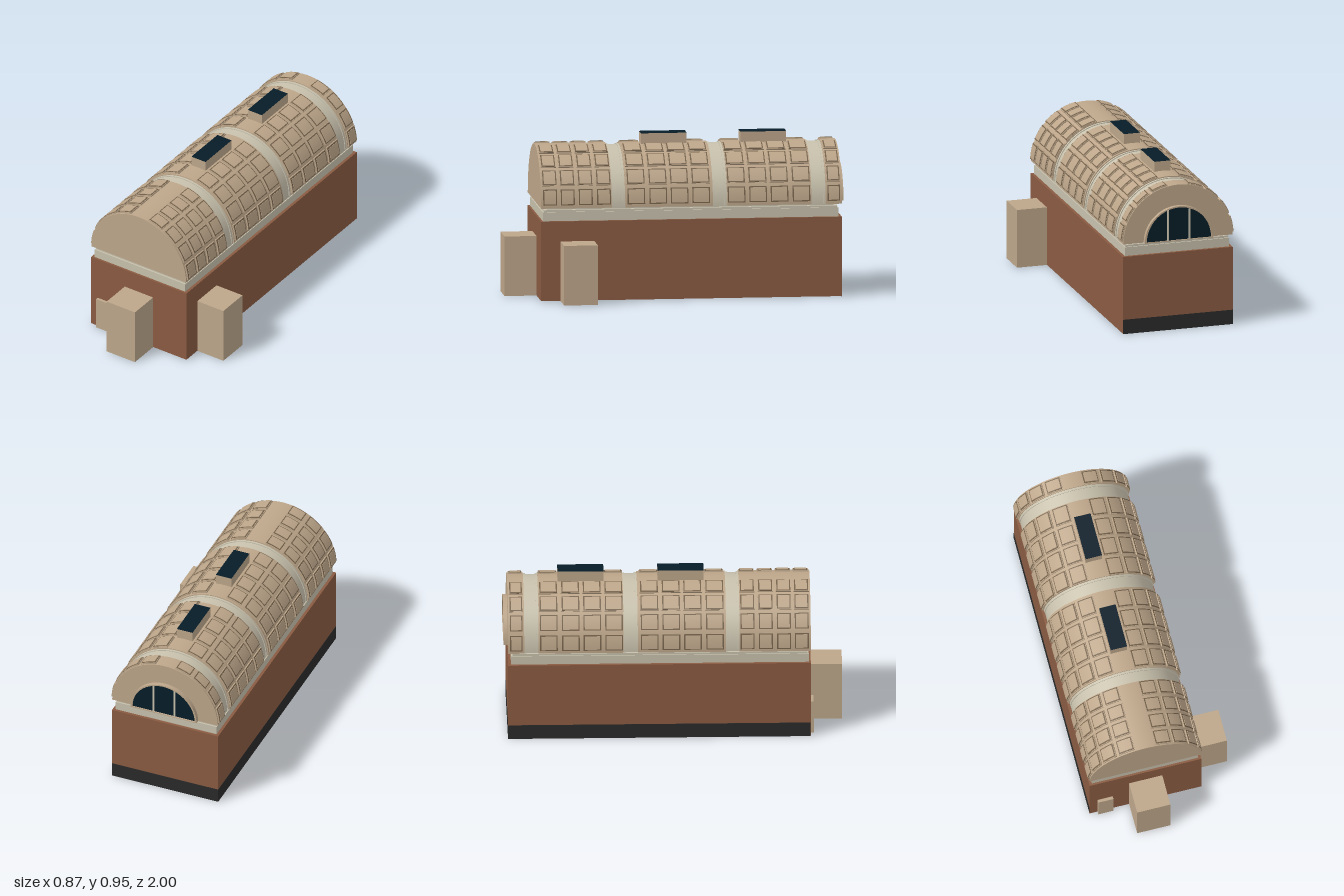
import * as THREE from 'three';
import { mergeGeometries, toCreasedNormals } from 'three/addons/utils/BufferGeometryUtils.js';

const CX = -0.09, SPRING = 0.552; // vault axis

function material(name, color) {
  const m = new THREE.MeshStandardMaterial({ color });
  m.name = name;
  return m;
}

// Extrude a shape, drawn round the vault axis, between two z values
function extrude(shape, z0, z1) {
  const g = new THREE.ExtrudeGeometry(shape, { depth: z1 - z0, bevelEnabled: false, curveSegments: 40 });
  g.translate(CX, SPRING, z0);
  return toCreasedNormals(g, 0.5);
}

function halfDisc(r) {
  const s = new THREE.Shape();
  s.absarc(0, 0, r, 0, Math.PI, false);
  s.closePath();
  return s;
}

function sector(r0, r1, a0, a1) {
  const s = new THREE.Shape(), n = 5;
  for (let i = 0; i <= n; i++) {
    const a = a0 + (a1 - a0) * i / n;
    s[i ? 'lineTo' : 'moveTo'](r1 * Math.cos(a), r1 * Math.sin(a));
  }
  for (let i = n; i >= 0; i--) {
    const a = a0 + (a1 - a0) * i / n;
    s.lineTo(r0 * Math.cos(a), r0 * Math.sin(a));
  }
  s.closePath();
  return s;
}

export function createModel() {
  const root = new THREE.Group();
  root.name = 'vaultedHall';
  const tan = material('tan plaster', 0xbda68a);
  const brick = material('red brown wall', 0x8a5b42);
  const stone = material('pale stone', 0xc8c1ad);
  const trim = material('coffer brown', 0x75624b);
  const black = material('black', 0x2a2a2a);
  const glass = material('dark glass', 0x061c28);
  const grey = material('floor grey', 0xb0a8a0);

  const add = (name, geometry, mat) => {
    const m = new THREE.Mesh(geometry, mat);
    m.name = name;
    root.add(m);
    return m;
  };
  // Box given by its limits
  const box = (name, mat, x0, x1, y0, y1, z0, z1) => {
    const g = new THREE.BoxGeometry(x1 - x0, y1 - y0, z1 - z0);
    g.translate((x0 + x1) / 2, (y0 + y1) / 2, (z0 + z1) / 2);
    return add(name, g, mat);
  };
  // Downward facing floor sheet
  const sheet = (name, x0, x1, y, z0, z1) => {
    const g = new THREE.PlaneGeometry(x1 - x0, z1 - z0);
    g.rotateX(Math.PI / 2);
    g.translate((x0 + x1) / 2, y, (z0 + z1) / 2);
    return add(name, g, grey);
  };

  // Walls, skirting and floor
  box('walls', brick, -0.43, 0.25, 0.002, 0.475, -0.975, 0.81);
  box('skirtingSide', black, -0.431, -0.428, 0, 0.088, -0.976, 0.808);
  box('skirtingBack', black, -0.431, 0.249, 0, 0.088, -0.976, -0.973);
  sheet('floor', -0.43, 0.25, 0.001, -0.975, 0.81);

  // Diamond floor tiles
  const tiles = [];
  const pitchX = 0.68 / 6, pitchZ = 1.785 / 15;
  for (let i = 0; i < 6; i++) {
    for (let j = 0; j < 15; j++) {
      const g = new THREE.CircleGeometry(1, 4);
      g.scale(pitchX * 0.5, pitchZ * 0.45, 1);
      g.rotateX(Math.PI / 2);
      g.translate(-0.43 + pitchX * (i + 0.5), 0, -0.975 + pitchZ * (j + 0.5));
      tiles.push(g);
    }
  }
  add('floorTiles', mergeGeometries(tiles), black);

  // Stepped cornice
  box('corniceLower', stone, -0.413, 0.233, 0.475, 0.528, -0.958, 0.798);
  box('corniceUpper', stone, -0.407, 0.227, 0.528, 0.54, -0.95, 0.79);
  box('corniceNeck', stone, -0.383, 0.205, 0.54, 0.553, -0.93, 0.77);

  // Barrel vault bays: z limits, coffer rows, coffer half length
  const bays = [
    { z0: 0.39, z1: 0.81, rows: [0.757, 0.652, 0.545, 0.437], half: 0.045 },
    { z0: -0.21, z1: 0.31, rows: [0.245, 0.115, -0.012, -0.14], half: 0.056 },
    { z0: -0.795, z1: -0.295, rows: [-0.35, -0.478, -0.605, -0.735], half: 0.056 },
    { z0: -0.975, z1: -0.88, rows: [-0.927], half: 0.041 },
  ];
  // Coffer layers: outer slab, brown border, raised panel
  const layers = [
    { name: 'cofferSlabs', mat: tan, r: 0.346, angle: 8.4, inset: 0, parts: [] },
    { name: 'cofferBorders', mat: trim, r: 0.3475, angle: 7.8, inset: 0.004, parts: [] },
    { name: 'cofferPanels', mat: tan, r: 0.35, angle: 6.7, inset: 0.011, parts: [] },
  ];
  const deg = Math.PI / 180;
  for (const bay of bays) {
    add('vaultBay', extrude(halfDisc(0.338), bay.z0, bay.z1), tan);
    for (const z of bay.rows) {
      for (const fromTop of [19, 39, 59, 79]) {
        for (const side of [-1, 1]) {
          const a = (90 + side * fromTop) * deg;
          for (const { r, angle, inset, parts } of layers) {
            const h = bay.half - inset;
            parts.push(extrude(sector(0.333, r, a - angle * deg, a + angle * deg), z - h, z + h));
          }
        }
      }
    }
  }
  for (const { name, mat, parts } of layers) add(name, mergeGeometries(parts), mat);

  // Recessed ribs between the bays
  for (let i = 0; i < 3; i++) {
    const z0 = bays[i + 1].z1, z1 = bays[i].z0;
    add('rib', extrude(halfDisc(0.327), z0, z1), stone);
    add('ribEdge', extrude(halfDisc(0.332), z0, z0 + 0.014), stone);
    add('ribEdge', extrude(halfDisc(0.332), z1 - 0.014, z1), stone);
  }

  // Roof skylights
  for (const z of [0.048, -0.542]) {
    box('skylight', tan, -0.14, -0.04, 0.86, 0.949, z - 0.136, z + 0.136);
    box('skylightGlass', glass, -0.14, -0.04, 0.949, 0.95, z - 0.136, z + 0.136);
  }

  // Half round window at the back
  const arch = halfDisc(0.212);
  const opening = new THREE.Path();
  opening.absarc(0, 0.004, 0.2, 0, Math.PI, false);
  opening.closePath();
  arch.holes.push(opening);
  add('windowFrame', extrude(arch, -1, -0.973), tan);
  add('windowGlass', extrude(halfDisc(0.205), -0.99, -0.982), glass);
  for (const dx of [-0.067, 0.067]) {
    box('windowBar', stone, CX + dx - 0.005, CX + dx + 0.005, SPRING, SPRING + 0.188, -0.996, -0.988);
  }

  // Entrance passages and the small front door, each with a grey floor
  const blocks = [
    ['frontPassage', -0.19, 0.012, 0.356, 0.81, 1],
    ['sidePassage', 0.25, 0.435, 0.356, 0.495, 0.695],
    ['smallDoor', -0.382, -0.29, 0.202, 0.81, 0.828],
  ];
  for (const [name, x0, x1, top, z0, z1] of blocks) {
    box(name, tan, x0, x1, 0.001, top, z0, z1);
    sheet(name + 'Floor', x0, x1, 0, z0, z1);
  }

  return root;
}
